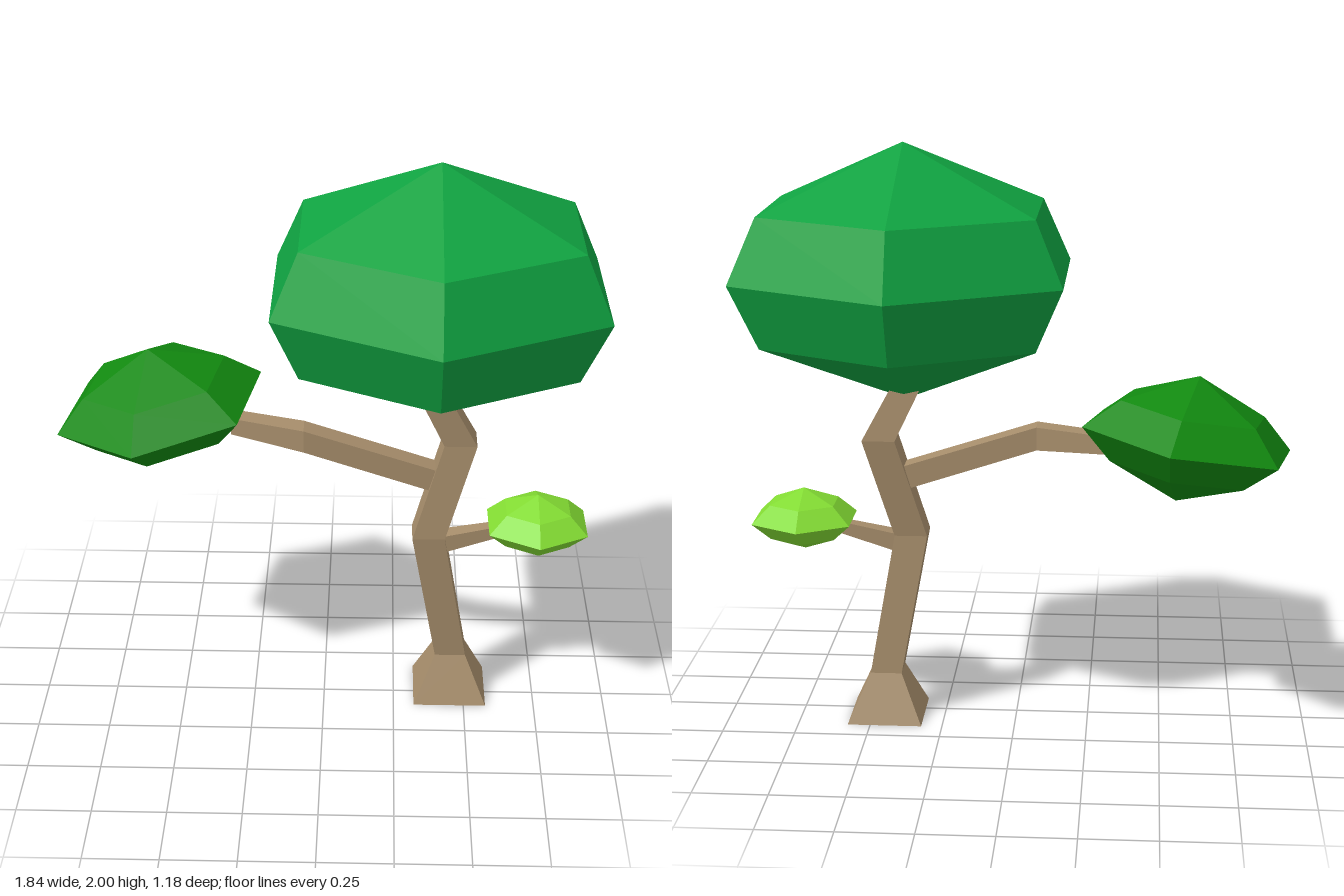
import * as THREE from 'three';

const paint = (color) => new THREE.MeshStandardMaterial({ color, flatShading: true });

// Square-section limb through sections [x, y, z, halfU, halfV]; u x v points along the limb
function limb(name, sections, u, v, material) {
  const pos = [];
  const idx = [];
  for (const [x, y, z, hu, hv] of sections) {
    for (const [a, b] of [[1, 1], [-1, 1], [-1, -1], [1, -1]]) {
      const p = new THREE.Vector3(x, y, z).addScaledVector(u, a * hu).addScaledVector(v, b * hv);
      pos.push(p.x, p.y, p.z);
    }
  }
  const last = (sections.length - 1) * 4;
  for (let s = 0; s < last; s += 4) {
    for (let i = 0; i < 4; i++) {
      const a = s + i, b = s + (i + 1) % 4;
      idx.push(a, b, b + 4, a, b + 4, a + 4);
    }
  }
  idx.push(0, 2, 1, 0, 3, 2, last, last + 1, last + 2, last, last + 2, last + 3);
  const indexed = new THREE.BufferGeometry();
  indexed.setAttribute('position', new THREE.Float32BufferAttribute(pos, 3));
  indexed.setIndex(idx);
  const geometry = indexed.toNonIndexed();
  geometry.computeVertexNormals();
  const mesh = new THREE.Mesh(geometry, material);
  mesh.name = name;
  return mesh;
}

// Six-sided leaf clump: two points, a wide middle ring and two narrower rings
function foliage(name, center, size, ringRadius, ringHeight, color) {
  const profile = [[0, -1], [ringRadius, -ringHeight], [1, 0], [ringRadius, ringHeight], [0, 1]]
    .map(([r, y]) => new THREE.Vector2(r, y));
  const geometry = new THREE.LatheGeometry(profile, 6).toNonIndexed();
  geometry.scale(...size);
  geometry.computeVertexNormals();
  const mesh = new THREE.Mesh(geometry, paint(color));
  mesh.name = name;
  mesh.position.set(...center);
  return mesh;
}

export function createModel() {
  const tree = new THREE.Group();
  tree.name = 'tree';
  const bark = paint(0xa68d6b);
  const X = new THREE.Vector3(1, 0, 0);
  const Y = new THREE.Vector3(0, 1, 0);
  const Z = new THREE.Vector3(0, 0, 1);

  // Crooked trunk with a flared foot
  tree.add(limb('trunk', [
    [0.45, 0, -0.037, 0.128, 0.128],
    [0.45, 0.165, -0.037, 0.054, 0.054],
    [0.362, 0.655, 0, 0.052, 0.056],
    [0.465, 1.0, -0.034, 0.058, 0.056],
    [0.362, 1.2, -0.018, 0.05, 0.05],
  ], Z, X, bark));

  // Long bent branch on one side, short twig on the other
  tree.add(limb('longBranch', [
    [0.41, 0.855, -0.02, 0.04, 0.042],
    [-0.07, 1.01, -0.02, 0.042, 0.04],
    [-0.325, 1.015, -0.12, 0.038, 0.03],
  ], Z, Y, bark));
  tree.add(limb('shortBranch', [
    [0.37, 0.612, 0, 0.034, 0.034],
    [0.66, 0.685, 0, 0.018, 0.02],
  ], Y, Z, bark));

  // Leaf clumps
  tree.add(foliage('mainCanopy', [0.377, 1.565, 0], [0.629, 0.435, 0.59], 0.833, 0.5, 0x10a341));
  tree.add(foliage('smallCanopy', [0.737, 0.698, 0], [0.194, 0.109, 0.193], 0.65, 0.55, 0x83dc33));
  const side = foliage('sideCanopy', [-0.577, 1.053, -0.185], [0.374, 0.213, 0.374], 0.69, 0.48, 0x128a10);
  side.rotation.set(0.06, -0.17, 0.17, 'XZY');
  tree.add(side);
  return tree;
}
